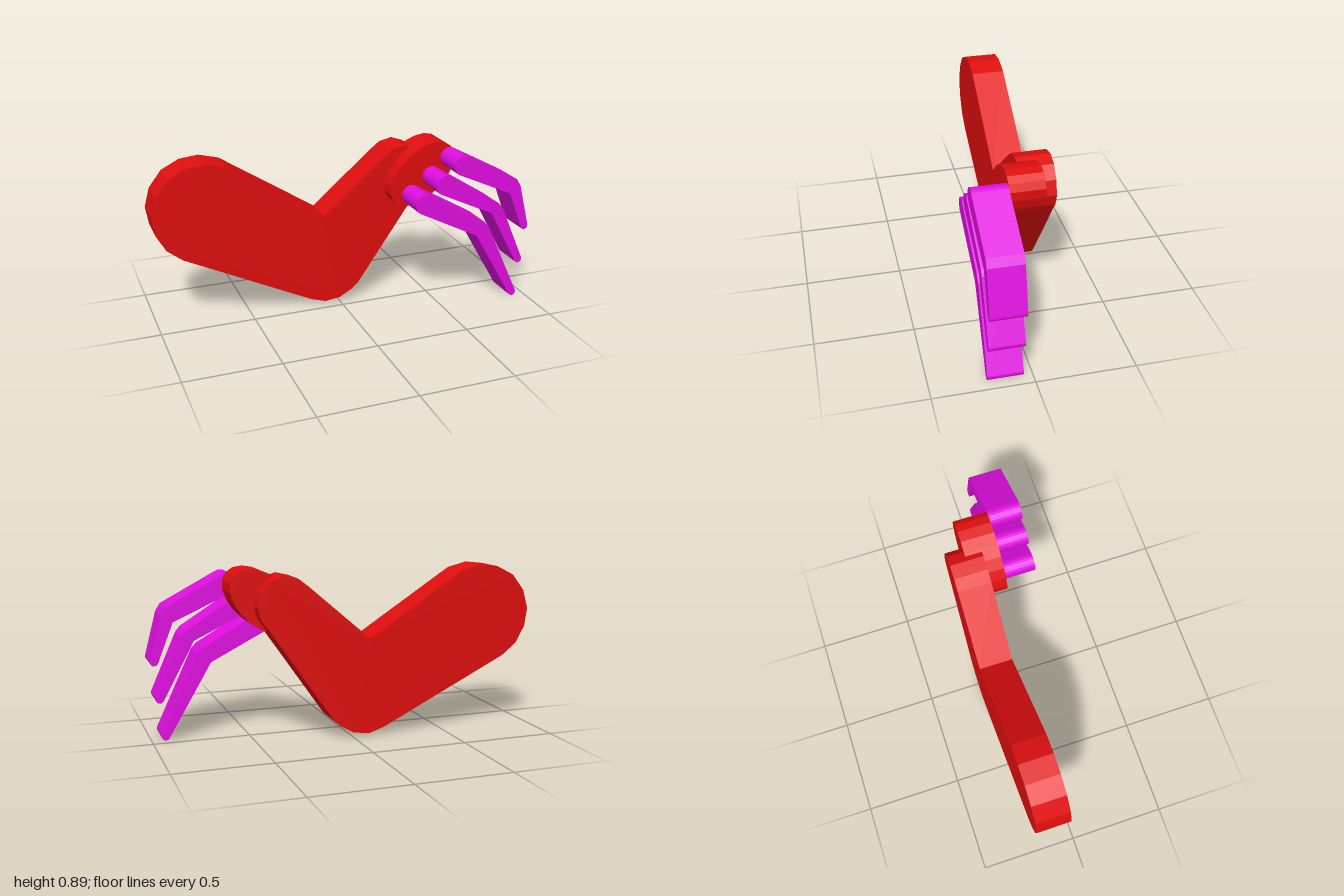
import * as THREE from 'three';

const DEPTH = 0.177;

export function createModel() {
  const group = new THREE.Group();
  const red = new THREE.MeshStandardMaterial({ color: 0xe00e0e });
  red.name = 'red';
  const magenta = new THREE.MeshStandardMaterial({ color: 0xe00ee0 });
  magenta.name = 'magenta';

  // Flat slab cut from an outline, with its back face at z
  const slab = (name, outline, z, material) => {
    const shape = new THREE.Shape(outline.map(([x, y]) => new THREE.Vector2(x, y)));
    const geometry = new THREE.ExtrudeGeometry(shape, { depth: DEPTH, bevelEnabled: false });
    const mesh = new THREE.Mesh(geometry, material);
    mesh.name = name;
    mesh.position.z = z;
    group.add(mesh);
  };

  // Points on a half circle, counter-clockwise from angle start (degrees)
  const halfCircle = ([cx, cy], r, start, steps) =>
    Array.from({ length: steps + 1 }, (_, i) => {
      const a = THREE.MathUtils.degToRad(start + (180 * i) / steps);
      return [cx + r * Math.cos(a), cy + r * Math.sin(a)];
    });

  // Bent arm: shoulder, elbow, then the narrow wrist
  slab('arm', [
    [-0.71, 0.876], [-0.81, 0.865], [-0.905, 0.817], [-0.972, 0.73], [-1, 0.63],
    [-0.985, 0.533], [-0.935, 0.443], [-0.855, 0.38],
    [-0.17, 0.043], [-0.085, 0.016], [0, 0.027], [0.07, 0.067], [0.107, 0.1],
    [0.457, 0.605], [0.482, 0.635], [0.5, 0.7], [0.48, 0.775], [0.43, 0.835],
    [0.365, 0.858], [0.295, 0.842], [0.24, 0.8],
    [-0.09, 0.517], [-0.605, 0.849],
  ], -0.222, red);

  // Tilted oval hand
  const tilt = THREE.MathUtils.degToRad(40.5);
  const oval = new THREE.EllipseCurve(0.437, 0.719, 0.213, 0.13, 0, Math.PI * 2, false, tilt);
  slab('hand', oval.getPoints(20).slice(0, -1).map((p) => [p.x, p.y]), -0.133, red);

  // Claw fingers: rounded base, bent knuckle, thin rounded tip
  const fingers = [
    { base: [0.59, 0.8], inner: [0.875, 0.613], tip: [0.975, 0.415], outer: [[0.935, 0.65], [0.91, 0.69]] },
    { base: [0.488, 0.705], inner: [0.77, 0.513], tip: [0.952, 0.219], outer: [[0.835, 0.535], [0.81, 0.565]] },
    { base: [0.373, 0.613], inner: [0.685, 0.395], tip: [0.928, 0.022], outer: [[0.755, 0.44], [0.728, 0.47]] },
  ];
  fingers.forEach(({ base, inner, tip, outer }, i) => {
    slab(`finger${i + 1}`, [
      ...halfCircle(base, 0.053, 62, 12),
      inner,
      ...halfCircle(tip, 0.021, 202, 8),
      ...outer,
    ], 0.045, magenta);
  });

  return group;
}
